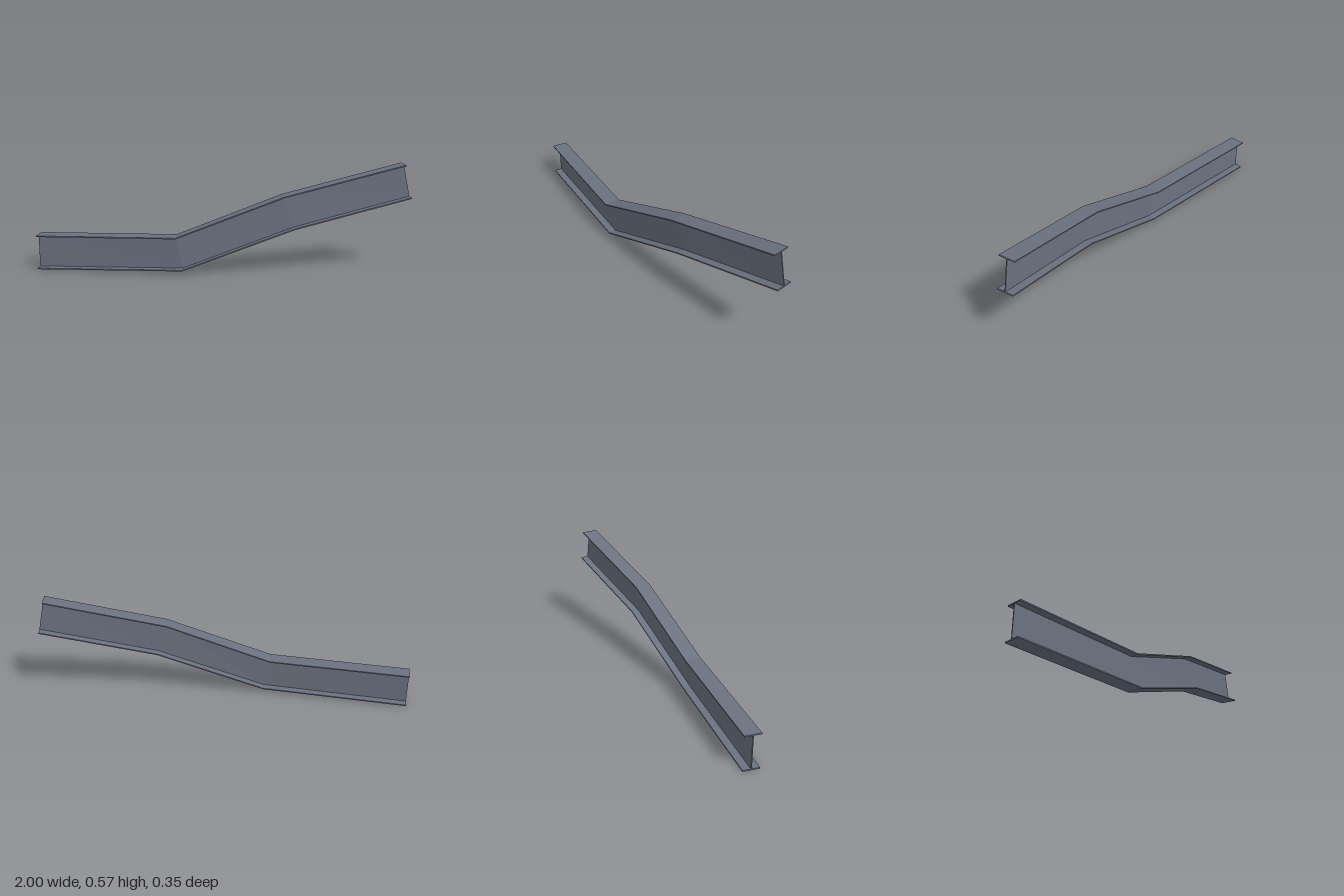
import * as THREE from 'three';

// Stations along the beam: top centre, bottom centre, and mitre skew in x per half flange
const stations = [
  { top: [-1, 0.187, 0.1315], bottom: [-1, 0, 0.1315], skew: 0 },
  { top: [-0.24, 0.2, 0.132], bottom: [-0.205, 0.019, 0.1315], skew: 0.004 },
  { top: [0.32, 0.416, 0.034], bottom: [0.378, 0.238, 0.025], skew: 0.009 },
  { top: [0.949, 0.573, -0.123], bottom: [0.988, 0.391, -0.131], skew: 0.011 },
].map(s => ({
  top: new THREE.Vector3(...s.top),
  bottom: new THREE.Vector3(...s.bottom),
  side: new THREE.Vector3(s.skew, 0, 0.0435),
}));

const FLANGE = 0.0065;      // flange thickness
const WEB = 0.0025 / 0.0435; // web half thickness as a share of the flange half width

// Sweep a rectangle through all stations; lo and hi are [anchor, distance upwards]
function sweep(name, width, lo, hi, material) {
  const rings = stations.map(s => {
    const up = s.top.clone().sub(s.bottom).normalize();
    const corner = ([anchor, d], side) =>
      s[anchor].clone().addScaledVector(up, d).addScaledVector(s.side, side * width);
    return [corner(lo, 1), corner(lo, -1), corner(hi, -1), corner(hi, 1)];
  });
  const points = [];
  const quad = (a, b, c, d) => points.push(a, b, c, a, c, d);
  for (let k = 0; k < rings.length - 1; k++) {
    const a = rings[k], b = rings[k + 1];
    for (let i = 0; i < 4; i++) {
      const j = (i + 1) % 4;
      quad(a[i], a[j], b[j], b[i]);
    }
  }
  // End caps
  quad(...[...rings[0]].reverse());
  quad(...rings[rings.length - 1]);
  const geometry = new THREE.BufferGeometry().setFromPoints(points);
  geometry.computeVertexNormals();
  const mesh = new THREE.Mesh(geometry, material);
  mesh.name = name;
  return mesh;
}

export function createModel() {
  const steel = new THREE.MeshStandardMaterial({ color: 0x6b7280 });
  steel.name = 'steel grey';
  const group = new THREE.Group();
  group.name = 'bentBeam';
  group.add(
    sweep('topFlange', 1, ['top', -FLANGE], ['top', 0], steel),
    sweep('bottomFlange', 1, ['bottom', 0], ['bottom', FLANGE], steel),
    sweep('web', WEB, ['bottom', FLANGE], ['top', -FLANGE], steel),
  );
  return group;
}
